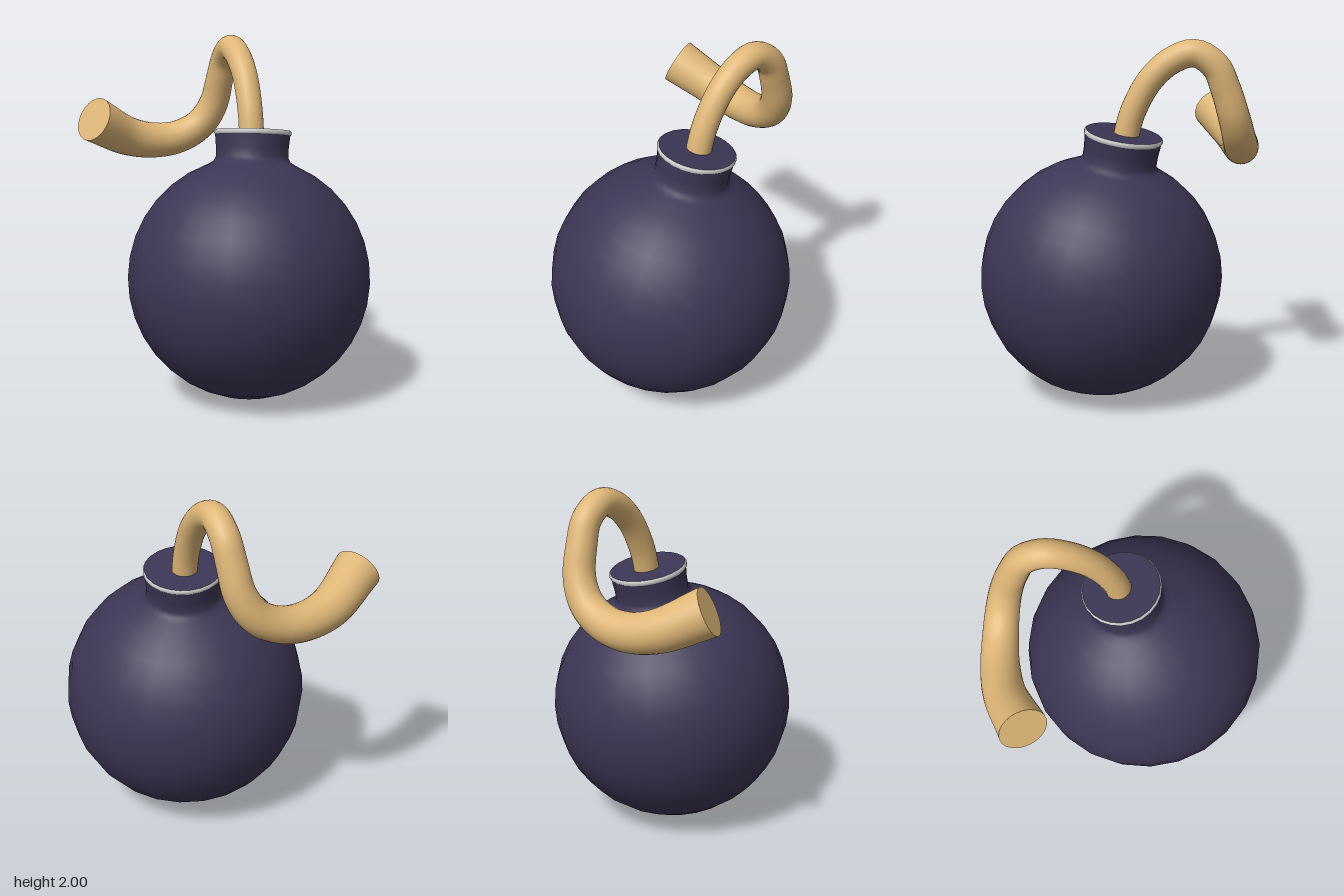
import * as THREE from 'three';

const navy = new THREE.MeshStandardMaterial({ color: 0x3b3654 });
const tan = new THREE.MeshStandardMaterial({ color: 0xdeb677 });
const grey = new THREE.MeshStandardMaterial({ color: 0xcccccc });

const SIDES = 24;
const R = 0.675;      // body radius
const TOP = 0.823;    // neck top, measured along the axis from the body centre

function part(name, geometry, material) {
  const mesh = new THREE.Mesh(geometry, material);
  mesh.name = name;
  return mesh;
}

function lathe(points) {
  return new THREE.LatheGeometry(points.map(([r, h]) => new THREE.Vector2(r, h)), SIDES);
}

// Round body flowing through a small fillet into the neck
function bodyGeometry() {
  const profile = [];
  const end = Math.PI - Math.asin(0.25 / R);
  for (let i = 0; i <= 16; i++) {
    const a = (i / 16) * end;
    profile.push([R * Math.sin(a), -R * Math.cos(a)]);
  }
  profile.push([0.218, 0.645], [0.204, 0.67], [0.204, 0.72], [0.211, TOP - 0.028]);
  return lathe(profile);
}

// Tube that thickens towards its free end
function fuse() {
  const path = new THREE.CatmullRomCurve3([
    [0.13, 1.42, -0.03], [0.135, 1.6, -0.075], [0.14, 1.78, -0.17], [0.14, 1.89, -0.29],
    [0.14, 1.927, -0.41], [0.14, 1.86, -0.52], [0.13, 1.74, -0.575], [0.105, 1.58, -0.625],
    [0.03, 1.46, -0.655], [-0.1, 1.39, -0.67], [-0.25, 1.375, -0.67], [-0.42, 1.41, -0.64],
    [-0.65, 1.53, -0.53],
  ].map((p) => new THREE.Vector3(...p)));
  const steps = 72, sides = 24;
  const radius = (t) => 0.07 + 0.06 * t ** 2.2;

  const tube = new THREE.TubeGeometry(path, steps, 1, sides);
  const pos = tube.attributes.position;
  const v = new THREE.Vector3();
  for (let i = 0; i <= steps; i++) {
    const centre = path.getPointAt(i / steps);
    for (let j = 0; j <= sides; j++) {
      const k = i * (sides + 1) + j;
      v.fromBufferAttribute(pos, k).sub(centre).multiplyScalar(radius(i / steps)).add(centre);
      pos.setXYZ(k, v.x, v.y, v.z);
    }
  }

  const cap = part('fuseEnd', new THREE.CircleGeometry(radius(1), sides), tan);
  cap.position.copy(path.getPointAt(1));
  cap.quaternion.setFromUnitVectors(new THREE.Vector3(0, 0, 1), path.getTangentAt(1));

  const group = new THREE.Group();
  group.name = 'fuse';
  group.add(part('fuseCord', tube, tan), cap);
  return group;
}

export function createModel() {
  const model = new THREE.Group();
  model.name = 'bomb';

  // Body, neck and rim share one leaning axis
  const shell = new THREE.Group();
  shell.name = 'shell';
  shell.position.set(0.065, 0.682, 0.1);
  shell.quaternion.setFromUnitVectors(
    new THREE.Vector3(0, 1, 0), new THREE.Vector3(0.07, 0.81, -0.13).normalize());
  shell.add(part('body', bodyGeometry(), navy));
  shell.add(part('neckRim', lathe([
    [0.211, TOP - 0.028], [0.217, TOP - 0.022], [0.217, TOP - 0.007], [0.21, TOP],
  ]), grey));

  const lid = part('neckTop', new THREE.CircleGeometry(0.21, SIDES), navy);
  lid.rotation.set(-Math.PI / 2, 0, Math.PI / 2);
  lid.position.y = TOP;
  shell.add(lid);

  model.add(shell, fuse());
  return model;
}
